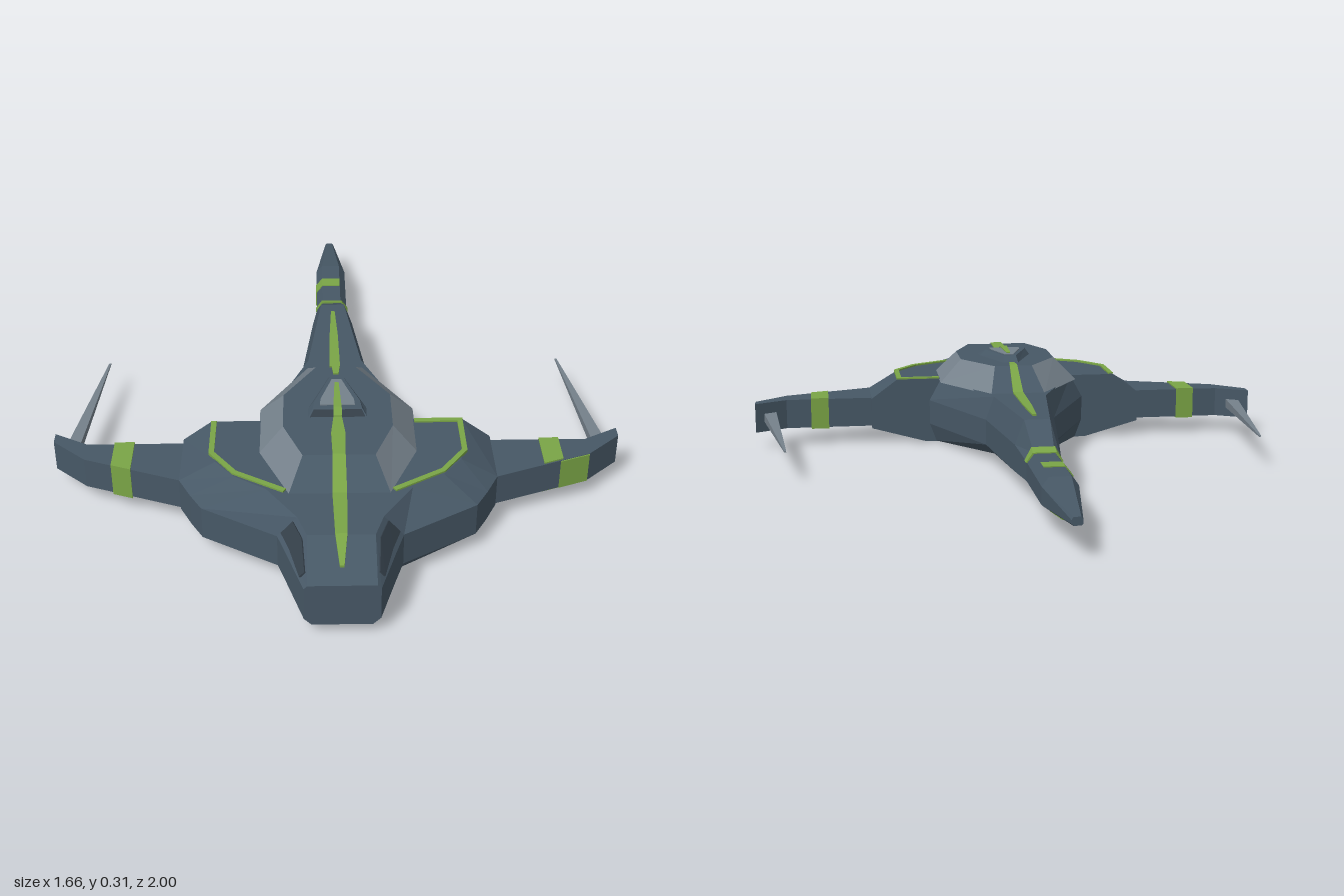
import * as THREE from 'three';

const mat = (name, color) => {
  const m = new THREE.MeshStandardMaterial({ color });
  m.name = name;
  return m;
};

// Skins a list of equal-length closed rings, with caps and flat faces.
// keep(j) chooses which sides stay (j = -1 for the caps).
function loft(rings, keep = () => true) {
  const R = rings.map(r => r.map(p => new THREE.Vector3(...p)));
  const n = R[0].length, tris = [];
  for (let i = 0; i < R.length - 1; i++) {
    for (let j = 0; j < n; j++) {
      const k = (j + 1) % n, a = R[i][j], b = R[i][k], c = R[i + 1][k], d = R[i + 1][j];
      tris.push([j, a, b, c], [j, a, c, d]);
    }
  }
  for (const [r, end] of [[R[0], false], [R[R.length - 1], true]]) {
    const mid = r.reduce((s, p) => s.add(p), new THREE.Vector3()).divideScalar(n);
    for (let j = 0; j < n; j++) {
      const a = r[j], b = r[(j + 1) % n];
      tris.push(end ? [-1, mid, a, b] : [-1, mid, b, a]);
    }
  }
  // Turn all faces outward
  let volume = 0;
  const cross = new THREE.Vector3();
  for (const [, a, b, c] of tris) volume += a.dot(cross.crossVectors(b, c));
  const pos = [];
  for (const [j, a, b, c] of tris) {
    if (!keep(j)) continue;
    for (const p of volume > 0 ? [a, b, c] : [a, c, b]) pos.push(p.x, p.y, p.z);
  }
  const g = new THREE.BufferGeometry();
  g.setAttribute('position', new THREE.Float32BufferAttribute(pos, 3));
  g.computeVertexNormals();
  return g;
}

// Eight-sided mirrored hull section
const section = ([z, xb, yb, xw, lo, hi, xd, yd]) => {
  const half = [[xb, yb], [xw, lo], [xw, hi], [xd, yd]];
  return [...half.map(([x, y]) => [x, y, z]),
    ...half.slice().reverse().map(([x, y]) => [-x, y, z])];
};

// Level mirrored outline, from front to back
const outline = (half, y) => [...half.map(([x, z]) => [x, y, z]),
  ...half.slice().reverse().map(([x, z]) => [-x, y, z])];

// Thin ribbon along points [x, y, z, halfWidth]
function ribbon(pts) {
  return loft(pts.map(([x, y, z, w], i) => {
    const p = pts[Math.max(i - 1, 0)], q = pts[Math.min(i + 1, pts.length - 1)];
    const dx = q[0] - p[0], dz = q[2] - p[2], l = Math.hypot(dx, dz);
    const ox = -dz / l * w, oz = dx / l * w;
    return [[x - ox, y - 0.004, z - oz], [x + ox, y - 0.004, z + oz],
      [x + ox, y + 0.004, z + oz], [x - ox, y + 0.004, z - oz]];
  }));
}

export function createModel() {
  const hull = mat('slate hull', 0x475866);
  const grey = mat('light grey', 0x75818b);
  const green = mat('green trim', 0x7aa546);
  const dark = mat('dark inset', 0x343f49);
  const model = new THREE.Group();
  model.name = 'ship';
  const add = (name, geometry, material) => {
    const m = new THREE.Mesh(geometry, material);
    m.name = name;
    model.add(m);
  };

  // Front hull: nose widening to the shoulders
  add('frontHull', loft([
    [1.0, 0.08, 0.03, 0.1, 0.05, 0.15, 0.09, 0.16],
    [0.86, 0.12, 0.03, 0.145, 0.05, 0.15, 0.09, 0.213],
    [0.785, 0.15, 0.03, 0.17, 0.05, 0.15, 0.115, 0.213],
    [0.66, 0.23, 0.01, 0.38, 0.05, 0.15, 0.2, 0.213],
    [0.6, 0.27, 0, 0.415, 0.05, 0.15, 0.29, 0.213],
    [0.53, 0.28, 0, 0.45, 0.05, 0.15, 0.345, 0.213],
    [0.33, 0.27, 0, 0.45, 0.05, 0.15, 0.365, 0.213],
  ].map(section)), hull);

  // Rear hull: narrows into the long tail
  add('tailHull', loft([
    [0.34, 0.24, 0, 0.262, 0.06, 0.14, 0.222, 0.213],
    [0.0, 0.08, 0.03, 0.108, 0.06, 0.14, 0.082, 0.213],
    [-0.35, 0.04, 0.045, 0.065, 0.06, 0.14, 0.038, 0.213],
    [-0.48, 0.03, 0.05, 0.05, 0.065, 0.12, 0.03, 0.146],
    [-0.75, 0.03, 0.055, 0.05, 0.07, 0.12, 0.03, 0.146],
    [-1.0, 0.01, 0.085, 0.015, 0.09, 0.1, 0.01, 0.108],
  ].map(section)), hull);

  // Raised dome with grey flanks
  const dome = [
    outline([[0.14, 0.685], [0.225, 0.49], [0.225, 0.27], [0.085, 0.04]], 0.21),
    outline([[0.1, 0.6], [0.155, 0.46], [0.155, 0.3], [0.06, 0.15]], 0.282)];
  const flank = j => j >= 0 && j % 4 !== 3;
  add('domeFlanks', loft(dome, flank), grey);
  add('domeTop', loft(dome, j => !flank(j)), hull);

  // Canopy
  add('canopyFrame', loft([
    outline([[0.085, 0.415], [0.085, 0.37], [0.025, 0.21]], 0.28),
    outline([[0.07, 0.4], [0.065, 0.36], [0.02, 0.235]], 0.302)]), hull);
  add('canopyPanel', loft([
    outline([[0.05, 0.385], [0.048, 0.355], [0.014, 0.25]], 0.3),
    outline([[0.05, 0.385], [0.048, 0.355], [0.014, 0.25]], 0.304)]), grey);
  add('canopyFront', loft([
    outline([[0.078, 0.417], [0.078, 0.41]], 0.283),
    outline([[0.068, 0.405], [0.068, 0.398]], 0.299)]), dark);

  for (const s of [1, -1]) {
    const side = s > 0 ? 'left' : 'right';
    const slice = (x, back, front, grow = 0) => [
      [s * x, 0.055 - grow, back - grow], [s * x, 0.055 - grow, front + grow],
      [s * x, 0.15 + grow, front + grow], [s * x, 0.15 + grow, back - grow]];
    const frontEdge = x => 0.53 - (x - 0.45) * 0.375;

    // Wing with swept tip
    add(side + 'Wing', loft([slice(0.4, 0.35, 0.54), slice(0.45, 0.35, 0.53),
      slice(0.73, 0.35, 0.425), slice(0.83, 0.295, 0.335)]), hull);

    // Wing band; on the left its front plate sits further out
    const inset = s > 0 ? 0.008 : 0;
    add(side + 'WingBand', loft([0.592, 0.65].map(x =>
      slice(x, 0.35, frontEdge(x) - inset, 0.004))), green);
    if (s > 0) {
      add('leftWingFrontBand', loft([0.642, 0.73].map(x => {
        const z = frontEdge(x);
        return [[x, 0.056, z - 0.004], [x, 0.056, z + 0.004],
          [x, 0.149, z + 0.004], [x, 0.149, z - 0.004]];
      })), green);
    }

    // Rearward spike at the wing tip
    const spike = (x, z, r) => [[s * (x - r), 0.1 - r * 0.7, z], [s * (x + r), 0.1 - r * 0.7, z],
      [s * (x + r), 0.1 + r * 0.7, z], [s * (x - r), 0.1 + r * 0.7, z]];
    add(side + 'Spike', loft([spike(0.785, 0.34, 0.021), spike(0.726, -0.175, 0.003)]), grey);

    // Trim line around the shoulder deck
    const line = [[0.358, 0.335], [0.358, 0.49], [0.29, 0.585], [0.15, 0.67]]
      .map(([x, z]) => [s * x, 0.214, z, 0.008]);
    add(side + 'DeckTrim', ribbon(line), green);

    // Dark inset on the nose bevel
    const bevel = ([z, xw, xd, yd]) => [0.2, 0.8].flatMap(t => {
      const x = xw + (xd - xw) * t, y = 0.15 + (yd - 0.15) * t;
      const a = [s * (x + 0.003), y + 0.003, z], b = [s * (x - 0.003), y - 0.003, z];
      return t < 0.5 ? [b, a] : [a, b];
    });
    add(side + 'NoseInset', loft([[0.96, 0.113, 0.09, 0.175], [0.86, 0.145, 0.09, 0.213],
      [0.79, 0.168, 0.114, 0.213]].map(bevel)), dark);
  }
  add('deckTrimReturn', ribbon([[0.225, 0.214, 0.339, 0.008], [0.366, 0.214, 0.339, 0.008]]), green);

  // Centre stripes
  add('noseStripe', ribbon([[0, 0.181, 0.95, 0.006], [0, 0.214, 0.86, 0.016],
    [0, 0.214, 0.685, 0.02], [0, 0.283, 0.6, 0.018], [0, 0.283, 0.5, 0.02], [0, 0.283, 0.42, 0.012]]), green);
  add('canopyStripe', ribbon([[0, 0.284, 0.416, 0.012], [0, 0.303, 0.4, 0.012], [0, 0.303, 0.27, 0.006]]), green);
  add('tailStripe', ribbon([[0, 0.283, 0.19, 0.008], [0, 0.283, 0.15, 0.012], [0, 0.214, 0.04, 0.016],
    [0, 0.214, -0.15, 0.013], [0, 0.214, -0.3, 0.006]]), green);

  // Tail bands and underside plate
  add('tailBand', loft([-0.6, -0.65].map(z => [[0.03, 0.149, z], [-0.031, 0.149, z],
    [-0.053, 0.121, z], [-0.053, 0.068, z], [0, 0.1, z]])), green);
  add('tailCollar', loft([[-0.463, 0.159], [-0.492, 0.149]].map(([z, y]) => [[0.034, y, z],
    [-0.034, y, z], [-0.054, 0.121, z], [0, 0.1, z], [0.054, 0.121, z]])), green);
  add('tailUnderPlate', ribbon([[0, 0.053, -0.62, 0.026], [0, 0.055, -0.75, 0.026],
    [0, 0.07, -0.88, 0.017]]), green);

  return model;
}
